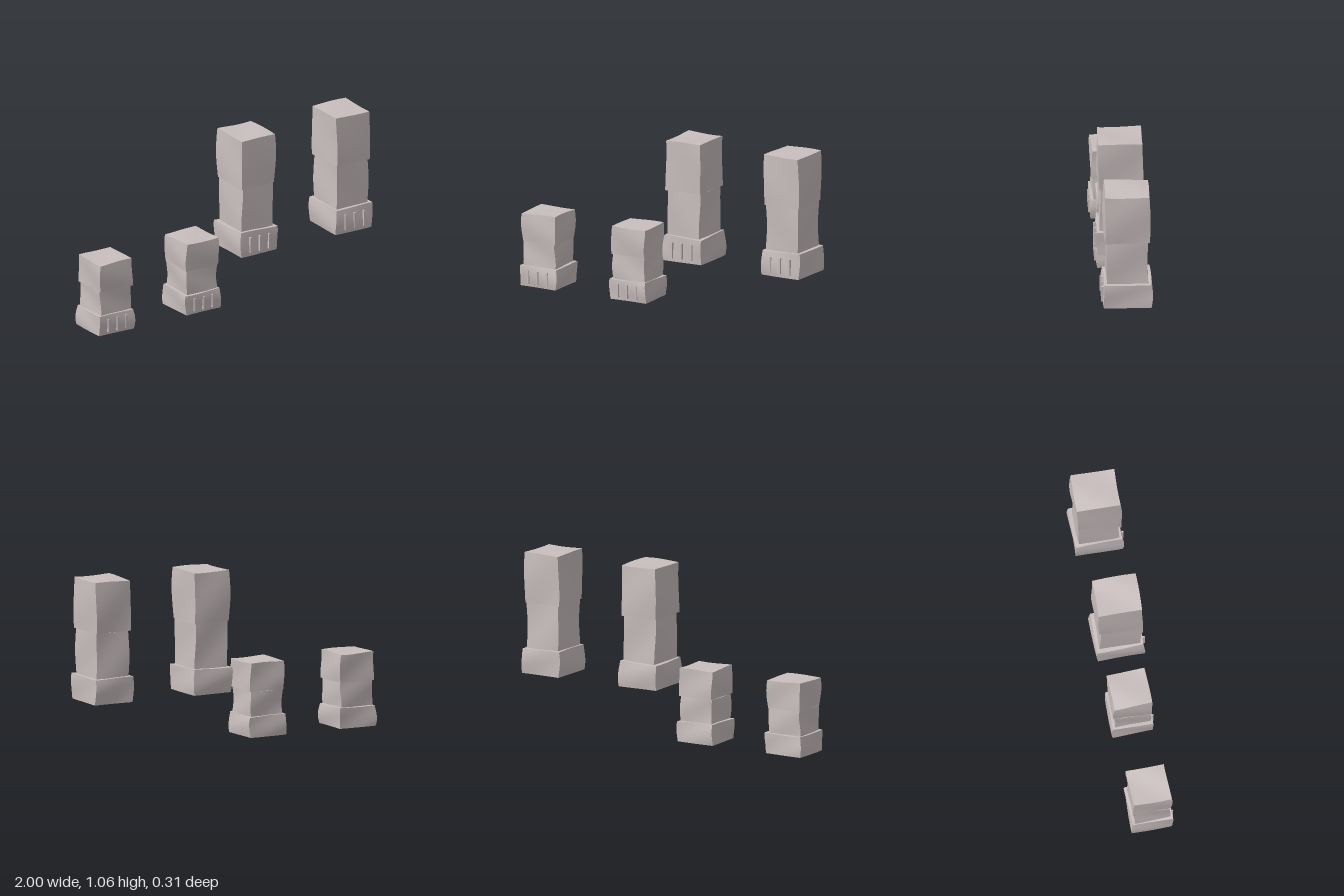
import * as THREE from 'three';

const stone = new THREE.MeshStandardMaterial({ color: 0xc9bebe });
stone.name = 'pale stone';

// Box between two heights whose faces are gently warped but whose edges stay sharp
function block(name, width, depth, y0, y1, z, seed, bulge = 0) {
  const h = y1 - y0;
  const geo = new THREE.BoxGeometry(width, h, depth, 8, 8, 8);
  const p = geo.attributes.position;
  for (let i = 0; i < p.count; i++) {
    const x = p.getX(i), y = p.getY(i), d = p.getZ(i);
    const u = x / width * 2, v = y / h * 2, w = d / depth * 2;
    const swell = 1 + bulge * (1 - v * v);
    p.setXYZ(i,
      x * swell + 0.004 * Math.sin(2 * v + 1.3 * w + seed),
      y + 0.003 * Math.sin(2 * u + 1.7 * w + seed * 2) * (v > 0 ? v : 0),
      d * swell + 0.004 * Math.sin(1.8 * v + 1.5 * u + seed * 3));
  }
  geo.computeVertexNormals();
  const mesh = new THREE.Mesh(geo, stone);
  mesh.name = name;
  mesh.position.set(0, (y0 + y1) / 2, z);
  return mesh;
}

// Three stacked blocks with raised toe lines on the front of the lowest one
function limb(name, x, s, seed) {
  const group = new THREE.Group();
  group.name = name;
  group.position.x = x;
  group.add(
    block('endBlock', s.end[0], s.end[1], s.y[0], s.y[1], s.endZ, seed, 0.03),
    block('lowerBlock', s.lower[0], s.lower[1], s.y[1], s.y[2], 0, seed + 1.1),
    block('upperBlock', s.upper[0], s.upper[1], s.y[2], s.y[3], 0, seed + 2.3, 0.02));
  for (const i of [-1, 0, 1]) {
    const line = new THREE.Mesh(new THREE.BoxGeometry(0.01, s.toeHeight, 0.022), stone);
    line.name = 'toeLine';
    line.position.set(i * s.toeGap, s.y[0] + 0.065 * s.toeHeight / 0.09, s.toeZ);
    group.add(line);
  }
  return group;
}

export function createModel() {
  const model = new THREE.Group();
  model.name = 'limbs';
  const leg = {
    y: [0.003, 0.13, 0.285, 0.46], end: [0.25, 0.25], endZ: -0.002,
    lower: [0.222, 0.222], upper: [0.232, 0.236],
    toeHeight: 0.085, toeGap: 0.065, toeZ: 0.126,
  };
  const arm = {
    y: [0.303, 0.46, 0.743, 1.057], end: [0.262, 0.29], endZ: -0.002,
    lower: [0.225, 0.252], upper: [0.24, 0.27],
    toeHeight: 0.1, toeGap: 0.068, toeZ: 0.148,
  };
  model.add(
    limb('rightLeg', -0.867, leg, 0.4),
    limb('leftLeg', -0.235, leg, 2.1),
    limb('rightArm', 0.163, arm, 3.7),
    limb('leftArm', 0.858, arm, 5.2));
  return model;
}
